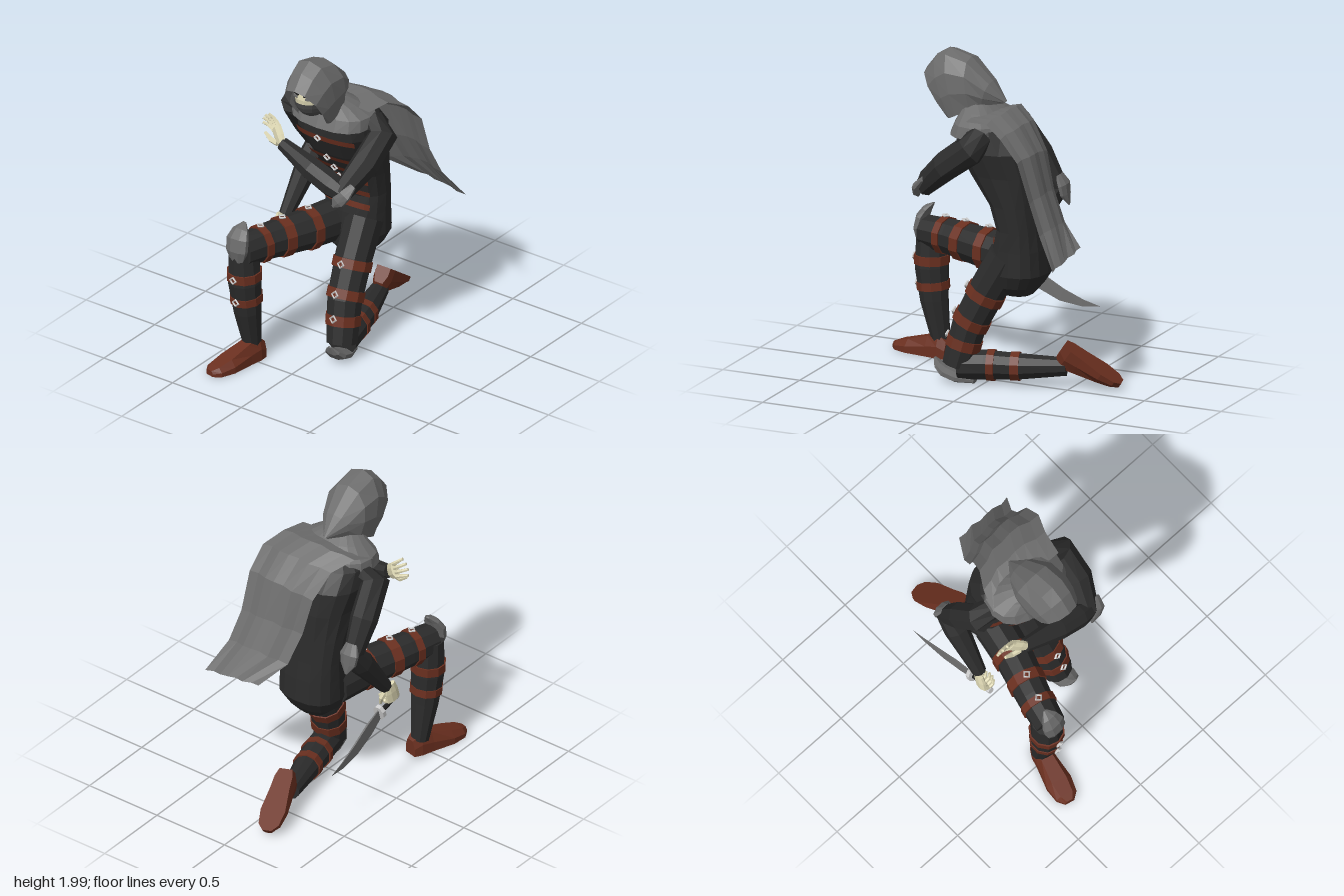
import * as THREE from 'three';

const V = (x, y, z) => new THREE.Vector3(x, y, z);
const mat = (color, side = THREE.FrontSide) => new THREE.MeshStandardMaterial({ color, flatShading: true, side });
const cloth = mat(0x2b2b2b), leather = mat(0x6a2f1f), skinTone = mat(0xded8b4), silver = mat(0xcccccc);
const plate = mat(0x6a6a6a), steel = mat(0x707070), maskGrey = mat(0x4c4c4c), dark = mat(0x1c1c1c);
const fabric = mat(0x6c6c6c, THREE.DoubleSide);

// Joins rings of points into a surface
function skin(rings, closed = true, caps = closed) {
  const n = rings[0].length, idx = [], m = closed ? n : n - 1;
  for (let r = 0; r < rings.length - 1; r++)
    for (let i = 0; i < m; i++) {
      const a = r * n + i, b = r * n + (i + 1) % n;
      idx.push(a, b, b + n, a, b + n, a + n);
    }
  const e = (rings.length - 1) * n;
  if (caps) for (let i = 1; i < n - 1; i++) idx.push(0, i + 1, i, e, e + i, e + i + 1);
  const g = new THREE.BufferGeometry().setFromPoints(rings.flat());
  g.setIndex(idx);
  g.computeVertexNormals();
  return g;
}

// Tapered tube through [x, y, z, radius] points
function tube(path, sides = 8, su = 1, sv = 1) {
  const p = path.map(q => V(q[0], q[1], q[2]));
  const all = p[p.length - 1].clone().sub(p[0]).normalize();
  const ref = Math.abs(all.x) > 0.75 ? V(0, 1, 0) : V(1, 0, 0);
  return skin(p.map((c, k) => {
    const t = p[Math.min(k + 1, p.length - 1)].clone().sub(p[Math.max(k - 1, 0)]).normalize();
    const u = ref.clone().addScaledVector(t, -ref.dot(t)).normalize(), v = t.clone().cross(u);
    return Array.from({ length: sides }, (_, i) => {
      const a = (i + 0.5) / sides * Math.PI * 2, r = path[k][3];
      return c.clone().addScaledVector(u, r * su * Math.cos(a)).addScaledVector(v, r * sv * Math.sin(a));
    });
  }));
}

// Point and radius at a fractional index of a path
function along(path, s) {
  const i = Math.min(Math.floor(s), path.length - 2);
  return path[i].map((v, k) => v + (path[i + 1][k] - v) * (s - i));
}

// Horizontal rounded-box ring, or part of one
function ring([y, cz, rx, rz], cx, n = 16, from = 0, span = Math.PI * 2, closed = true) {
  const f = v => Math.sign(v) * Math.pow(Math.abs(v), 0.8);
  return Array.from({ length: n }, (_, i) => {
    const a = from + span * i / (closed ? n : n - 1);
    return V(cx + rx * f(Math.cos(a)), y, cz - rz * f(Math.sin(a)));
  });
}

export function createModel() {
  const model = new THREE.Group();
  const add = (name, geo, material, parent = model) => {
    const m = new THREE.Mesh(geo, material);
    m.name = name;
    parent.add(m);
    return m;
  };
  const buckle = (pos, dir) => {
    const b = add('buckle', new THREE.TorusGeometry(0.021, 0.007, 4, 4), silver);
    b.position.copy(pos);
    b.lookAt(pos.clone().add(dir));
  };

  // Torso: y, centre z, half width, half depth
  const torso = [[0.56, -0.17, 0.1, 0.09], [0.62, -0.17, 0.165, 0.14], [0.7, -0.19, 0.2, 0.17], [0.85, -0.195, 0.198, 0.155],
    [0.97, -0.2, 0.2, 0.135], [1.12, -0.17, 0.21, 0.15], [1.3, -0.1, 0.228, 0.21], [1.45, -0.045, 0.262, 0.235],
    [1.56, 0, 0.25, 0.19], [1.64, 0.03, 0.15, 0.12]];
  const cx = -0.03;
  add('torso', skin(torso.map(s => ring(s, cx))), cloth);
  const torsoAt = y => {
    const i = torso.findIndex(s => s[0] > y) - 1;
    return along(torso, i + (y - torso[i][0]) / (torso[i + 1][0] - torso[i][0]));
  };

  // Chest straps with buckles, drooping towards their ends
  for (const y of [0.92, 1.01, 1.1, 1.18, 1.28, 1.45]) {
    const band = [-0.018, 0.018].map(d => {
      const s = torsoAt(y + d);
      const pts = ring([s[0], s[1], s[2] * 1.02, s[3] + 0.01], cx, 9, -Math.PI / 2 - 0.85, 1.7, false);
      pts.forEach((p, i) => { p.y -= 0.0012 * (i - 4) ** 2; });
      return pts;
    });
    add('chestStrap', skin(band, false), leather);
    const s = torsoAt(y);
    buckle(V(-0.033, y, s[1] + s[3] + 0.015), V(0, -0.2, 1));
  }

  // Legs: the right one steps forward, the left one kneels
  const rightThigh = [[-0.13, 0.74, -0.12, 0.13], [-0.185, 0.75, 0.12, 0.123], [-0.27, 0.76, 0.38, 0.11], [-0.32, 0.76, 0.57, 0.1]];
  const rightShin = [[-0.325, 0.78, 0.54, 0.09], [-0.318, 0.55, 0.535, 0.102], [-0.312, 0.35, 0.515, 0.085], [-0.31, 0.1, 0.47, 0.055]];
  const leftThigh = [[0.055, 0.8, -0.14, 0.12], [0.067, 0.58, -0.015, 0.114], [0.085, 0.36, 0.095, 0.107], [0.112, 0.11, 0.16, 0.095]];
  const leftShin = [[0.112, 0.11, 0.155, 0.09], [0.07, 0.12, 0, 0.092], [0.02, 0.12, -0.18, 0.082], [-0.07, 0.13, -0.46, 0.056]];
  const legs = [
    ['rightThigh', rightThigh, [0.9, 1.6, 2.25], V(0, 1, 0), 0.95],
    ['rightShin', rightShin, [0.8, 1.55], V(0, 0, 1), 1],
    ['leftThigh', leftThigh, [1.13, 1.87, 2.45], V(0.03, 0.35, 0.9), 1],
    ['leftShin', leftShin, [1.2, 1.95], null, 1],
  ];
  for (const [name, path, straps, dir, squash] of legs) {
    add(name, tube(path, 10, squash), cloth);
    for (const s of straps) {
      const a = along(path, s - 0.12), b = along(path, s + 0.12), c = along(path, s);
      a[3] = b[3] = c[3] * 1.08;
      add(name + 'Strap', tube([a, b], 10, squash), leather);
      if (dir) buckle(V(c[0], c[1], c[2]).addScaledVector(dir.clone().normalize(), c[3] * 1.14), dir);
    }
  }

  // Shoes: distance from heel, half width, height
  const shoe = skin([[0, 0.042, 0.1], [0.05, 0.058, 0.145], [0.13, 0.063, 0.122], [0.27, 0.08, 0.078], [0.36, 0.066, 0.052], [0.4, 0.03, 0.035]]
    .map(([z, w, h]) => [[1, 0], [1, 0.5], [0.6, 1], [-0.6, 1], [-1, 0.5], [-1, 0]].map(([a, b]) => V(a * w, b * h, z))));
  // Places an object by its forward (z) and up (y) directions
  const orient = (obj, pos, fwd, up) => {
    const f = fwd.normalize(), x = up.cross(f).normalize();
    obj.quaternion.setFromRotationMatrix(new THREE.Matrix4().makeBasis(x, f.clone().cross(x), f));
    obj.position.copy(pos);
  };
  orient(add('rightShoe', shoe, leather), V(-0.285, 0.01, 0.41), V(-0.09, 0, 0.37), V(0, 1, 0));
  orient(add('leftShoe', shoe, leather), V(-0.045, 0.282, -0.47), V(-0.1, -0.22, -0.31), V(0, -0.8, 0.55));

  // Arms
  add('rightUpperArm', tube([[-0.24, 1.5, 0, 0.07], [-0.35, 1.49, -0.01, 0.087], [-0.37, 1.31, -0.14, 0.084], [-0.38, 1.1, -0.27, 0.056]]), cloth);
  add('rightForearm', tube([[-0.38, 1.14, -0.28, 0.056], [-0.375, 1.02, -0.18, 0.076], [-0.39, 0.74, 0.035, 0.042]]), cloth);
  add('leftUpperArm', tube([[0.19, 1.54, -0.02, 0.08], [0.288, 1.48, 0, 0.09], [0.282, 1.36, 0.16, 0.086], [0.222, 1.21, 0.32, 0.06]]), cloth);
  add('leftForearm', tube([[0.25, 1.21, 0.31, 0.055], [0.15, 1.245, 0.31, 0.075], [0, 1.295, 0.3, 0.072], [-0.24, 1.37, 0.265, 0.042]]), cloth);

  // Joint guards: thin curved plates with a swept tip
  const guards = {
    rightKneeGuard: [[-0.32, 0.7, 0.605, 0.045], [-0.32, 0.78, 0.61, 0.075], [-0.325, 0.85, 0.595, 0.076], [-0.325, 0.9, 0.565, 0.055], [-0.325, 0.935, 0.525, 0.012]],
    leftKneeGuard: [[0.1, 0.03, 0.05, 0.045], [0.115, 0.04, 0.16, 0.07], [0.125, 0.07, 0.235, 0.072], [0.13, 0.105, 0.275, 0.05], [0.13, 0.145, 0.3, 0.012]],
    rightElbowGuard: [[-0.375, 1.2, -0.265, 0.04], [-0.38, 1.14, -0.295, 0.065], [-0.38, 1.08, -0.305, 0.055], [-0.38, 1.02, -0.33, 0.008]],
    leftElbowGuard: [[0.285, 1.28, 0.295, 0.035], [0.26, 1.23, 0.345, 0.055], [0.23, 1.185, 0.36, 0.048], [0.2, 1.14, 0.37, 0.008]],
  };
  for (const name in guards) add(name, tube(guards[name], 8, 1, 0.45), plate);

  // Hands: fingers along local y, palm facing local z
  function hand(name, curl, spread, thumbSide) {
    const g = new THREE.Group();
    g.name = name;
    g.scale.setScalar(1.1);
    add('palm', tube([[0, -0.02, 0, 0.035], [0, 0.03, 0, 0.046], [0, 0.09, 0, 0.046]], 8, 1, 0.45), skinTone, g);
    for (let i = 0; i < 4; i++) {
      const o = i - 1.5, x = o * 0.022, len = 0.05 - Math.abs(o) * 0.006, path = [[x, 0.08, 0, 0.013]];
      for (let k = 1; k < 4; k++) {
        const q = path[k - 1], a = curl * k;
        path.push([q[0] + o * spread, q[1] + len * Math.cos(a) * 0.72, q[2] + len * Math.sin(a) * 0.72, 0.013 - k * 0.0015]);
      }
      add('finger', tube(path, 6), skinTone, g);
    }
    const s = thumbSide;
    add('thumb', tube([[s * 0.025, 0.01, 0.01, 0.016], [s * 0.055, 0.05, 0.025, 0.015], [s * 0.055, 0.1, 0.045, 0.009]], 6), skinTone, g);
    model.add(g);
    return g;
  }
  orient(hand('leftHand', 0.25, 0.003, -1), V(-0.25, 1.375, 0.265), V(-0.45, 0.1, 0.85), V(-0.8, 0.58, -0.1));
  orient(hand('rightHand', 0.95, 0, -1), V(-0.412, 0.735, 0.055), V(1, 0, 0.1), V(0, -1, 0.25));

  // Curved blade with guard and grip
  const bx = -0.395;
  add('grip', tube([[bx, 0.625, 0.13, 0.015], [bx, 0.585, -0.02, 0.015]], 8), dark);
  add('pommel', tube([[bx, 0.628, 0.14, 0.02], [bx, 0.62, 0.115, 0.022]], 8), silver);
  add('handGuard', tube([[bx, 0.593, -0.01, 0.052], [bx, 0.586, -0.035, 0.052]], 8, 0.75, 1), silver);
  add('blade', tube([[bx, 0.585, -0.02, 0.045], [bx - 0.003, 0.525, -0.13, 0.065], [bx - 0.008, 0.455, -0.27, 0.055],
    [bx - 0.015, 0.42, -0.4, 0.03], [bx - 0.022, 0.41, -0.51, 0.002]], 4, 0.12, 1), steel);

  // Head with mask, brows and eyes
  const head = new THREE.Group();
  head.name = 'head';
  head.position.set(-0.035, 1.775, 0.235);
  model.add(head);
  add('face', new THREE.SphereGeometry(1, 14, 10).scale(0.1, 0.14, 0.135), skinTone, head);
  add('mask', new THREE.SphereGeometry(1, 14, 6, 0, Math.PI * 2, 1.72, 1.42).scale(0.106, 0.147, 0.143), maskGrey, head);
  for (const s of [-1, 1]) {
    const brow = add('brow', new THREE.BoxGeometry(0.055, 0.009, 0.02), dark, head);
    brow.position.set(s * 0.042, 0.033, 0.115);
    brow.rotation.set(0, s * 0.35, s * 0.12);
    const eye = add('eye', new THREE.BoxGeometry(0.036, 0.015, 0.02), steel, head);
    eye.position.set(s * 0.042, 0.012, 0.114);
    eye.rotation.y = s * 0.35;
  }
  add('neck', tube([[-0.03, 1.55, 0.05, 0.09], [-0.035, 1.74, 0.2, 0.075]]), cloth);

  // Hood arches: top y, top z, bottom y, bottom z, half width
  const arch = [[-0.85, 0], [-1, 0.35], [-0.95, 0.68], [-0.55, 0.93], [0, 1], [0.55, 0.93], [0.95, 0.68], [1, 0.35], [0.85, 0]];
  const hood = [[1.86, 0.43, 1.6, 0.25, 0.12], [1.95, 0.36, 1.6, 0.23, 0.138], [2, 0.28, 1.62, 0.19, 0.146],
    [1.96, 0.14, 1.67, 0.1, 0.142], [1.83, 0, 1.69, 0.04, 0.095], [1.715, -0.09, 1.7, -0.07, 0.012]];
  add('hood', skin(hood.map(([ty, tz, by, bz, w]) =>
    arch.map(([u, v]) => V(-0.035 + u * w, by + (ty - by) * v, bz + (tz - bz) * v))), false), fabric);

  // Shoulder mantle
  add('mantle', skin([[1.53, 0.035, 0.265, 0.19], [1.6, 0.035, 0.255, 0.16], [1.66, 0.06, 0.165, 0.11], [1.7, 0.09, 0.1, 0.08]]
    .map(s => ring(s, -0.03)), true, false), fabric);

  // Cape: left edge and right edge of each row, blown to the side
  const cape = [[-0.29, 1.6, 0.05, 0.23, 1.64, 0.05], [-0.25, 1.64, -0.08, 0.26, 1.65, -0.09], [-0.17, 1.58, -0.2, 0.32, 1.59, -0.21],
    [-0.12, 1.42, -0.31, 0.33, 1.46, -0.325], [-0.09, 1.2, -0.37, 0.33, 1.22, -0.405], [-0.05, 1.02, -0.46, 0.36, 1.04, -0.485],
    [0.05, 0.91, -0.61, 0.44, 0.86, -0.61]];
  add('cape', skin(cape.map((c, r) => Array.from({ length: 8 }, (_, i) => {
    const u = i / 7, bulge = Math.sin(u * Math.PI) * (r < 6 ? 1 : 0.15);
    const p = V(c[0], c[1], c[2]).lerp(V(c[3], c[4], c[5]), u);
    return p.add(V(0, 0.03 * bulge, (r ? -0.035 : 0) * bulge + 0.008 * Math.sin(i * 2.4) * Math.min(r, 1)));
  })), false), fabric);

  return model;
}
